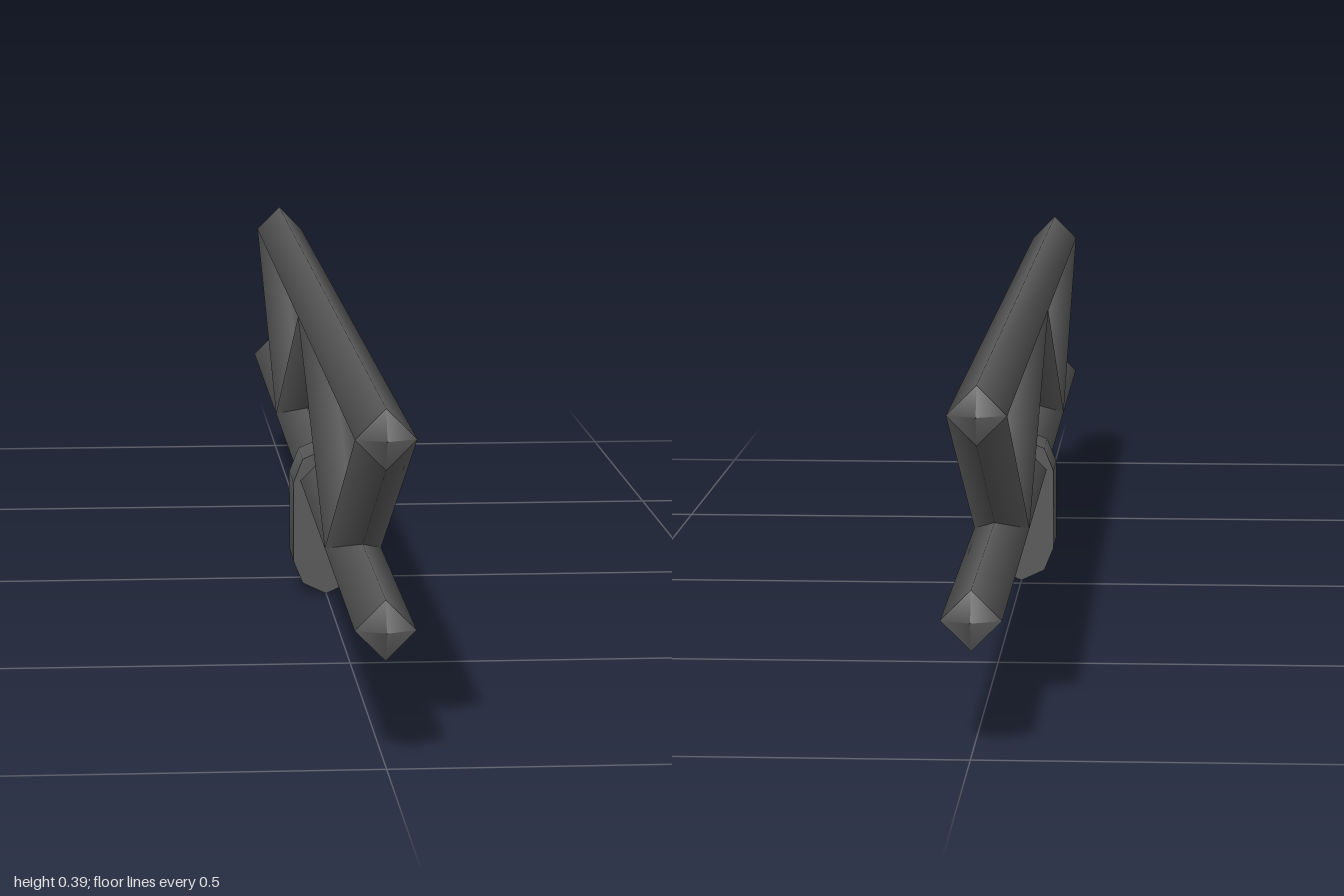
import * as THREE from 'three';
import { toCreasedNormals } from 'three/addons/utils/BufferGeometryUtils.js';

const HALF = 0.033; // half diagonal of the diamond bar section
const TIP = 0.016;  // depth of the pointed bar ends
const TOP_Y = 0.352, LOW_Y = 0.147;

export function createModel() {
  const group = new THREE.Group();
  const darkMetal = new THREE.MeshStandardMaterial({ color: 0x595959 });
  darkMetal.name = 'darkMetal';

  const add = (name, geometry) => {
    const mesh = new THREE.Mesh(geometry, darkMetal);
    mesh.name = name;
    group.add(mesh);
    return mesh;
  };

  // Diamond bar along z with shallow pyramid ends
  const rail = (name, y, zFront, zBack) => {
    const length = zFront - zBack - 2 * TIP;
    const body = new THREE.CylinderGeometry(HALF, HALF, length, 4, 1, true);
    body.rotateX(Math.PI / 2).translate(0, y, (zFront + zBack) / 2);
    add(name, body);
    for (const [side, z] of [[1, zFront], [-1, zBack]]) {
      const cap = new THREE.ConeGeometry(HALF, TIP, 4, 1, true);
      cap.rotateX(side * Math.PI / 2).translate(0, y, z - side * TIP / 2);
      add(name + (side > 0 ? 'FrontTip' : 'BackTip'), cap);
    }
  };
  rail('upperRail', TOP_Y, 1, -0.905);
  rail('lowerRail', LOW_Y, 1, -1);

  // Zigzag struts, sheared so that neighbours meet in a clean mitre
  const nodes = [[0.984, TOP_Y], [0.54, LOW_Y], [0.06, TOP_Y], [-0.42, LOW_Y], [-0.889, TOP_Y]];
  for (let i = 0; i < nodes.length - 1; i++) {
    const [z0, y0] = nodes[i], [z1, y1] = nodes[i + 1];
    const strut = new THREE.CylinderGeometry(HALF, HALF, z0 - z1, 4, 1, true);
    strut.rotateX(Math.PI / 2).translate(0, 0, (z0 + z1) / 2);
    const slope = (y1 - y0) / (z1 - z0);
    strut.applyMatrix4(new THREE.Matrix4().set(
      1, 0, 0, 0,
      0, 1, slope, y0 - slope * z0,
      0, 0, 1, 0,
      0, 0, 0, 1));
    add('strut' + (i + 1), strut);
  }

  // Rounded clamp block around the lower rail
  const right = [[0, 0], [0.03, 0.014], [0.042, 0.043], [0.042, 0.145], [0.03, 0.175], [0, 0.188]];
  const left = right.slice(1, -1).reverse().map(([x, y]) => [-x, y]);
  const outline = new THREE.Shape([...right, ...left].map(([x, y]) => new THREE.Vector2(x, y)));
  const block = new THREE.ExtrudeGeometry(outline, { depth: 0.084, bevelEnabled: false });
  block.translate(0, 0, 0.02);
  add('clamp', toCreasedNormals(block, Math.PI / 3));

  return group;
}
